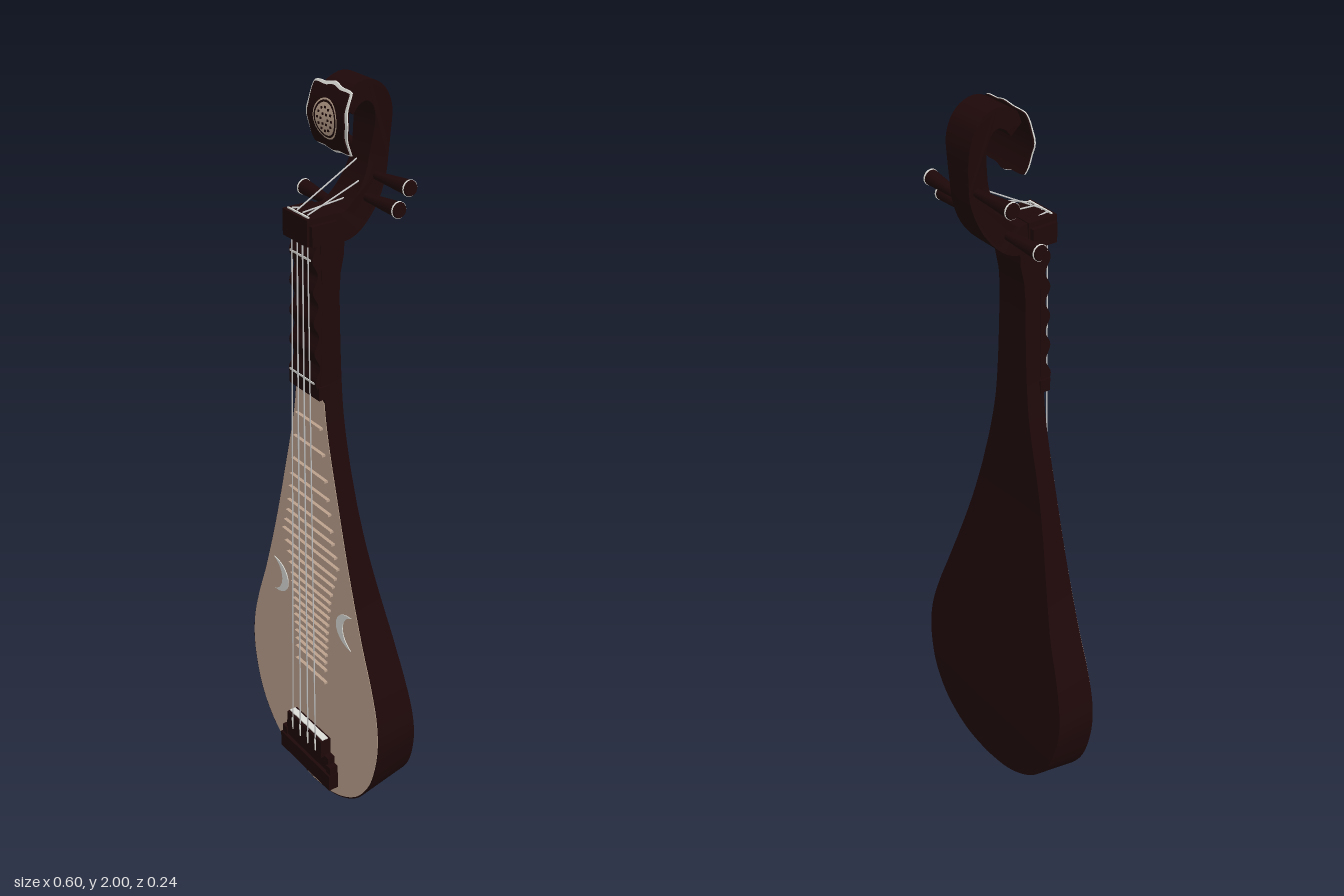
import * as THREE from 'three';
import { toCreasedNormals } from 'three/addons/utils/BufferGeometryUtils.js';

const mat = (name, color, side = THREE.FrontSide) => {
  const m = new THREE.MeshStandardMaterial({ color, side });
  m.name = name;
  return m;
};
const V = (x, y, z) => new THREE.Vector3(x, y, z);

// linear lookup in a list of [key, value]
function lookup(list, t) {
  if (t <= list[0][0]) return list[0][1];
  for (let i = 1; i < list.length; i++) {
    const [a, u] = list[i - 1], [b, v] = list[i];
    if (t <= b) return u + (v - u) * (t - a) / (b - a);
  }
  return list[list.length - 1][1];
}

export function createModel() {
  const wood = mat('dark rosewood', 0x1e0809);
  const board = mat('pale soundboard wood', 0xbba18d);
  const bone = mat('bone white', 0xdcdcd8, THREE.DoubleSide);
  const stringMat = mat('string grey', 0xc4c4c4);

  const root = new THREE.Group();
  root.name = 'lute';
  const add = (name, geo, material, x = 0, y = 0, z = 0) => {
    const m = new THREE.Mesh(geo, material);
    m.name = name;
    m.position.set(x, y, z);
    root.add(m);
    return m;
  };
  const box = (name, w, h, d, material, x, y, z) =>
    add(name, new THREE.BoxGeometry(w, h, d), material, x, y, z);
  const rod = (name, a, b, r, material) =>
    add(name, new THREE.TubeGeometry(new THREE.LineCurve3(a, b), 1, r, 6), material);

  // pear outline as (half width, height), running up into the neck
  const outline = new THREE.SplineCurve([
    [0, 0.002], [0.09, 0.014], [0.165, 0.048], [0.225, 0.1], [0.272, 0.18], [0.298, 0.29],
    [0.295, 0.39], [0.268, 0.49], [0.224, 0.61], [0.168, 0.79], [0.115, 0.99],
    [0.078, 1.14], [0.062, 1.25], [0.053, 1.42], [0.048, 1.67],
  ].map(p => new THREE.Vector2(...p))).getPoints(84);
  const widths = outline.map(p => [p.y, p.x]);
  const halfWidth = y => lookup(widths, y);
  const backZ = y => lookup([[0.04, -0.053], [0.2, -0.043], [0.4, -0.028], [0.6, -0.011],
    [0.75, 0.009], [0.85, 0.021], [0.95, 0.029], [1.05, 0.032], [1.54, 0.032], [1.6, 0.018], [1.67, 0.016]], y);

  // body and neck: four-cornered sections lofted upwards
  const pos = [], idx = [];
  outline.forEach((p, i) => {
    const yb = p.y + 0.042 * Math.max(0, 1 - p.y / 0.4);
    const zb = backZ(yb);
    pos.push(-p.x, p.y, 0.083, p.x, p.y, 0.083, p.x, yb, zb, -p.x, yb, zb);
    if (!i) return;
    for (let k = 0; k < 4; k++) {
      const a = (i - 1) * 4 + k, b = (i - 1) * 4 + (k + 1) % 4;
      idx.push(a, b, b + 4, a, b + 4, a + 4);
    }
  });
  const last = (outline.length - 1) * 4;
  idx.push(last, last + 1, last + 2, last, last + 2, last + 3);
  const bodyGeo = new THREE.BufferGeometry();
  bodyGeo.setAttribute('position', new THREE.Float32BufferAttribute(pos, 3));
  bodyGeo.setIndex(idx);
  add('body', toCreasedNormals(bodyGeo, 0.6), wood);

  // soundboard, inset a little so a dark rim shows
  const edge = outline.filter(p => p.y < 1.24);
  const boardPts = [...edge.map(p => [p.x - 0.003, p.y + 0.003]), [0.035, 1.247], [0, 1.235], [-0.035, 1.247],
    ...edge.slice(1).reverse().map(p => [-p.x + 0.003, p.y + 0.003])].map(p => new THREE.Vector2(...p));
  boardPts[0].x = 0;
  add('soundboard', new THREE.ExtrudeGeometry(new THREE.Shape(boardPts),
    { depth: 0.005, bevelEnabled: false }), board, 0, 0, 0.0795);

  // side profile in (z, y), extruded across x with a width that follows y
  function sideProfile(name, pts, width) {
    const g = new THREE.ExtrudeGeometry(new THREE.Shape(pts), { depth: 1, bevelEnabled: false });
    const p = g.attributes.position;
    for (let i = 0; i < p.count; i++) {
      const z = p.getX(i), y = p.getY(i), d = p.getZ(i);
      p.setXYZ(i, (0.5 - d) * 2 * width(y), y, z);
    }
    g.deleteAttribute('normal');
    return add(name, toCreasedNormals(g, 0.6), wood);
  }

  // rounded upper frets on the neck
  const bumps = [new THREE.Vector2(0.075, 1.64), new THREE.Vector2(0.075, 1.25)];
  for (let i = 0; i <= 50; i++)
    bumps.push(new THREE.Vector2(0.092 + 0.015 * Math.sin(i / 50 * Math.PI * 5) ** 2, 1.25 + 0.39 * i / 50));
  sideProfile('neckFrets', bumps, y => halfWidth(y) - 0.001);
  box('neckCollar', 0.128, 0.035, 0.03, wood, 0, 1.262, 0.086);
  for (const y of [1.289, 1.601])
    box('neckFretInlay', 2 * halfWidth(y) - 0.012, 0.005, 0.003, bone, 0, y, 0.107);

  // curled head
  const curl = new THREE.CatmullRomCurve3([[0.06, 1.668], [0.005, 1.668], [-0.045, 1.71], [-0.08, 1.775],
    [-0.093, 1.85], [-0.094, 1.92], [-0.075, 1.96], [-0.043, 1.974], [-0.01, 1.962], [0.01, 1.94],
  ].map(p => V(p[0], p[1], 0)));
  const near = [], far = [];
  for (let i = 0; i <= 40; i++) {
    const c = curl.getPoint(i / 40), t = curl.getTangent(i / 40);
    const h = lookup([[0, 0.036], [0.25, 0.032], [0.5, 0.024], [1, 0.024]], i / 40);
    near.push(new THREE.Vector2(c.x - t.y * h, c.y + t.x * h));
    far.push(new THREE.Vector2(c.x + t.y * h, c.y - t.x * h));
  }
  sideProfile('head', [...near, ...far.reverse()],
    y => lookup([[1.64, 0.05], [1.72, 0.044], [1.82, 0.034], [1.93, 0.046]], y));
  box('nutBlock', 0.1, 0.065, 0.082, wood, 0, 1.672, 0.081);
  for (const s of [-1, 1]) box('nutEar', 0.014, 0.05, 0.07, wood, s * 0.054, 1.665, 0.08);
  box('nut', 0.085, 0.004, 0.004, bone, 0, 1.706, 0.112);

  // bowed head ornament: dark back, bone border, dark panel, pale rosette
  const bow = y => 0.006 + 0.024 * (1 - (y / 0.08) ** 2);
  function bowed(name, g, material, lift, ripple = 0) {
    const p = g.attributes.position;
    for (let i = 0; i < p.count; i++) {
      let x = p.getX(i), y = p.getY(i);
      const r = Math.hypot(x, y), a = Math.atan2(y, x);
      const k = 1 + ripple * Math.cos(8 * a) * (r > 0.05 ? 1 : 0) - (ripple ? 0.1 * (x * y / 0.0055) ** 2 : 0);
      x *= k; y *= k;
      p.setXYZ(i, x, y, p.getZ(i) + bow(y) + lift);
    }
    g.computeVertexNormals();
    add(name, g, material, 0, 1.91, 0);
  }
  bowed('ornamentBack', new THREE.BoxGeometry(0.154, 0.154, 0.004, 16, 16, 1), wood, -0.002, 0.03);
  bowed('ornamentBorder', new THREE.BoxGeometry(0.158, 0.158, 0.003, 16, 16, 1), bone, 0.0015, 0.03);
  bowed('ornamentPanel', new THREE.BoxGeometry(0.14, 0.144, 0.005, 16, 16, 1), wood, 0.004, 0.03);
  bowed('ornamentRosette', new THREE.RingGeometry(0, 0.038, 24, 4), board, 0.008);
  bowed('rosetteRing', new THREE.RingGeometry(0.043, 0.047, 24, 1), board, 0.008);
  for (const [n, r] of [[6, 0.013], [12, 0.027]]) {
    for (let i = 0; i < n; i++) {
      const a = i / n * Math.PI * 2, x = Math.cos(a) * r, y = Math.sin(a) * r;
      box('rosetteHole', 0.005, 0.005, 0.004, wood, x, 1.91 + y, bow(y) + 0.008);
    }
  }

  // tuning pegs: [side, y, z]
  const pegs = [[-1, 1.808, -0.094], [-1, 1.686, -0.016], [1, 1.765, -0.08], [1, 1.72, -0.05]];
  for (const [s, y, z] of pegs) {
    const peg = new THREE.Group();
    peg.name = 'tuningPeg';
    const part = (name, rTop, rBottom, h, material, py) => {
      const m = new THREE.Mesh(new THREE.CylinderGeometry(rTop, rBottom, h, 16), material);
      m.name = name;
      m.position.y = py;
      peg.add(m);
    };
    part('pegShaft', 0.019, 0.008, 0.15, wood, 0.09);
    part('pegCap', 0.02, 0.02, 0.004, bone, 0.165);
    part('pegButton', 0.017, 0.019, 0.004, wood, 0.169);
    peg.rotation.z = -s * Math.PI / 2 * 0.97;
    peg.position.set(0, y, z);
    root.add(peg);
  }

  // soundboard frets: [y, half width]
  const fretWidths = [[0.39, 0.07], [0.45, 0.07], [0.58, 0.08], [0.66, 0.09], [0.72, 0.105],
    [0.785, 0.125], [0.85, 0.105], [0.93, 0.09], [1.02, 0.075], [1.16, 0.055]];
  const fretYs = [1.16, 1.09, 1.02, 0.97, 0.93, 0.885, 0.85, 0.815, 0.785, 0.75, 0.72, 0.69];
  for (let i = 0; i < 10; i++) fretYs.push(0.66 - i * 0.0255);
  fretYs.push(0.39);
  for (const y of fretYs) box('fret', 2 * lookup(fretWidths, y), 0.006, 0.01, board, 0, y, 0.089);

  // crescent inlays, bulging towards the middle
  const moon = new THREE.Shape();
  moon.moveTo(0, -0.052);
  moon.bezierCurveTo(0.088, -0.05, 0.088, 0.05, 0, 0.052);
  moon.bezierCurveTo(0.05, 0.03, 0.05, -0.03, 0, -0.052);
  for (const s of [-1, 1]) {
    const m = add('crescent', new THREE.ExtrudeGeometry(moon, { depth: 0.003, bevelEnabled: false }),
      bone, s * 0.178, 0.612, 0.0835);
    if (s > 0) m.rotation.z = Math.PI;
  }

  // stepped bridge with bone edging
  box('bridgeBase', 0.24, 0.05, 0.03, wood, 0, 0.083, 0.1);
  box('bridgeMiddle', 0.205, 0.05, 0.022, wood, 0, 0.13, 0.095);
  box('bridgeTop', 0.165, 0.055, 0.032, wood, 0, 0.178, 0.1);
  box('bridgeEdge', 0.16, 0.004, 0.018, bone, 0, 0.207, 0.1);
  for (const s of [-1, 1]) box('bridgeFoot', 0.02, 0.03, 0.024, wood, s * 0.108, 0.118, 0.098);

  // strings: bridge to nut, then into the peg box
  const order = [1, 0, 3, 2];
  for (let i = 0; i < 4; i++) {
    const k = i - 1.5, top = V(k * 0.021, 1.708, 0.108);
    const [, py, pz] = pegs[order[i]];
    rod('string', V(k * 0.037, 0.16, 0.116), top, 0.002, stringMat);
    rod('headString', top, V(k * 0.016, py, pz + 0.02), 0.002, stringMat);
    rod('bridgeKnot', V(k * 0.037, 0.16, 0.115), V(k * 0.037, 0.2, 0.117), 0.003, bone);
  }
  return root;
}
